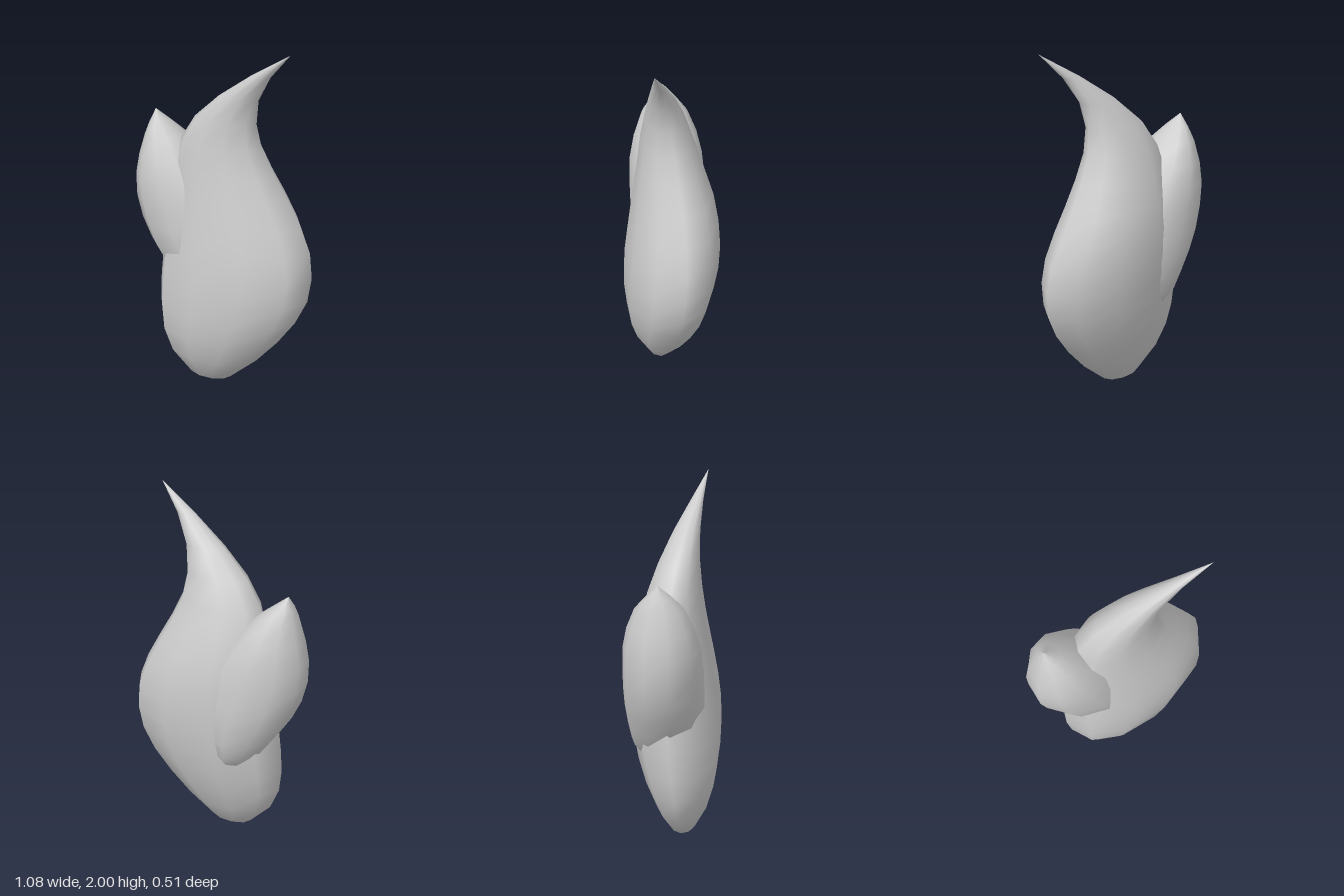
import * as THREE from 'three';

const SIDES = 10;

// Smooth closed skin over elliptical rings; each ring is [y, xMin, xMax, zMin, zMax].
function loft(name, rings, phase, material) {
  const positions = [];
  const indices = [];
  const angles = Array.from({ length: SIDES }, (_, i) => phase + (i / SIDES) * Math.PI * 2);
  const reachX = Math.max(...angles.map(Math.cos));
  const reachZ = Math.max(...angles.map(Math.sin));
  for (const [y, x0, x1, z0, z1] of rings) {
    for (const a of angles) {
      positions.push(
        (x0 + x1) / 2 + ((x1 - x0) / 2 / reachX) * Math.cos(a),
        y,
        (z0 + z1) / 2 + ((z1 - z0) / 2 / reachZ) * Math.sin(a)
      );
    }
  }
  for (let r = 0; r < rings.length - 1; r++) {
    for (let i = 0; i < SIDES; i++) {
      const a = r * SIDES + i;
      const b = r * SIDES + ((i + 1) % SIDES);
      indices.push(a, a + SIDES, b);
      if (r < rings.length - 2) indices.push(b, a + SIDES, b + SIDES);
    }
  }
  // Base cap
  const [y, x0, x1, z0, z1] = rings[0];
  const centre = positions.length / 3;
  positions.push((x0 + x1) / 2, y, (z0 + z1) / 2);
  for (let i = 0; i < SIDES; i++) indices.push(centre, i, (i + 1) % SIDES);

  const geometry = new THREE.BufferGeometry();
  geometry.setAttribute('position', new THREE.Float32BufferAttribute(positions, 3));
  geometry.setIndex(indices);
  geometry.computeVertexNormals();
  const mesh = new THREE.Mesh(geometry, material);
  mesh.name = name;
  return mesh;
}

export function createModel() {
  const group = new THREE.Group();
  group.name = 'flame';
  const grey = new THREE.MeshStandardMaterial({ color: 0xcccccc });
  grey.name = 'light grey';

  // Main flame: evenly spaced rings, swelling then curling to a tip
  const flame = [
    [-0.19, 0.07, -0.01, 0.13],
    [-0.32, 0.23, -0.09, 0.2],
    [-0.38, 0.355, -0.15, 0.24],
    [-0.4, 0.455, -0.195, 0.255],
    [-0.4, 0.52, -0.225, 0.257],
    [-0.39, 0.537, -0.245, 0.25],
    [-0.375, 0.517, -0.253, 0.232],
    [-0.355, 0.455, -0.247, 0.21],
    [-0.33, 0.375, -0.225, 0.187],
    [-0.3, 0.295, -0.18, 0.165],
    [-0.26, 0.228, -0.135, 0.147],
    [-0.165, 0.202, -0.085, 0.132],
    [-0.005, 0.225, -0.02, 0.126],
    [0.2, 0.308, 0.06, 0.13],
    [0.436, 0.436, 0.143, 0.143],
  ].map((ring, i) => [i / 7, ...ring]);
  group.add(loft('mainFlame', flame, 0, grey));

  // Smaller tongue leaning out of the side
  const tongue = [
    [0.49, -0.22, -0.08, -0.17, 0.03],
    [0.58, -0.31, 0.0, -0.225, 0.11],
    [0.68, -0.375, 0.05, -0.245, 0.16],
    [0.8, -0.45, 0.07, -0.257, 0.19],
    [0.92, -0.505, 0.05, -0.258, 0.192],
    [1.05, -0.537, 0.0, -0.252, 0.19],
    [1.18, -0.541, -0.08, -0.242, 0.18],
    [1.3, -0.522, -0.17, -0.215, 0.15],
    [1.42, -0.49, -0.27, -0.165, 0.1],
    [1.49, -0.468, -0.355, -0.105, 0.04],
    [1.56, -0.44, -0.44, -0.035, -0.035],
  ];
  group.add(loft('sideTongue', tongue, Math.PI / SIDES, grey));

  return group;
}
